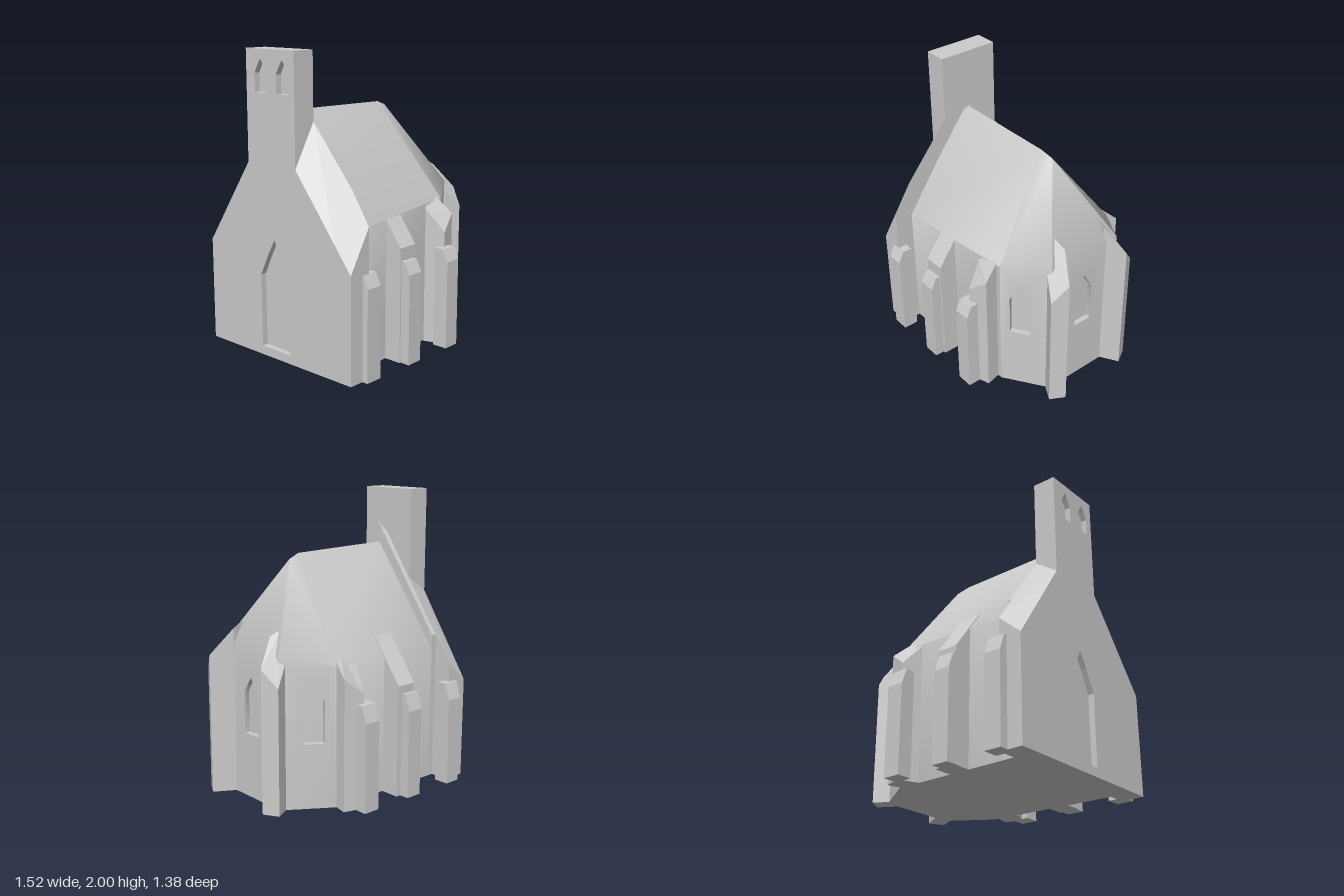
import * as THREE from 'three';
import { toCreasedNormals } from 'three/addons/utils/BufferGeometryUtils.js';

const stone = new THREE.MeshStandardMaterial({ color: 0xcccccc });
stone.name = 'stone';

// Triangle collectors
const tri = (out, a, b, c) => out.push(...a, ...b, ...c);
const quad = (out, a, b, c, d) => { tri(out, a, b, c); tri(out, a, c, d); };

function toMesh(name, out, crease) {
  let g = new THREE.BufferGeometry();
  g.setAttribute('position', new THREE.Float32BufferAttribute(out, 3));
  if (crease) g = toCreasedNormals(g, crease);
  else g.computeVertexNormals();
  const m = new THREE.Mesh(g, stone);
  m.name = name;
  return m;
}

// Pointed-arch outline, counter-clockwise
const arch = (u, w, y0, spring, top) => [
  [u - w / 2, y0], [u + w / 2, y0], [u + w / 2, spring],
  [u + w * 0.22, spring + (top - spring) * 0.6], [u, top],
  [u - w * 0.22, spring + (top - spring) * 0.6], [u - w / 2, spring],
].map(([x, y]) => new THREE.Vector2(x, y));

// Upright wall panel from plan point p along (dx, dz), with recessed arches
function panel(out, p, dx, dz, outline, holes, depth) {
  const at = (v, d) => [p[0] + dx * v.x + dz * d, v.y, p[1] + dz * v.x - dx * d];
  const fill = (shape, d) => {
    const g = new THREE.ShapeGeometry(shape);
    const pos = g.attributes.position;
    const pt = i => at(new THREE.Vector2(pos.getX(i), pos.getY(i)), d);
    for (let i = 0; i < g.index.count; i += 3) {
      tri(out, pt(g.index.getX(i)), pt(g.index.getX(i + 1)), pt(g.index.getX(i + 2)));
    }
  };
  const shape = new THREE.Shape(outline.map(([x, y]) => new THREE.Vector2(x, y)));
  for (const h of holes) {
    shape.holes.push(new THREE.Path(h));
    h.forEach((a, i) => {
      const b = h[(i + 1) % h.length];
      quad(out, at(a, 0), at(b, 0), at(b, depth), at(a, depth));
    });
    fill(new THREE.Shape(h), depth);
  }
  fill(shape, 0);
}

// Upright prism with a height for each [x, z, height] corner
function prism(name, corners, mirrored) {
  const pts = mirrored ? [...corners].reverse() : corners;
  const out = [];
  const lo = pts.map(([x, z]) => [x, 0, z]);
  const hi = pts.map(([x, z, h]) => [x, h, z]);
  pts.forEach((_, i) => {
    const j = (i + 1) % pts.length;
    quad(out, lo[i], lo[j], hi[j], hi[i]);
    if (i > 0 && j > 0) {
      tri(out, hi[0], hi[i], hi[j]);
      tri(out, lo[0], lo[j], lo[i]);
    }
  });
  return toMesh(name, out);
}

// Nave and three-sided apse, walls flowing into the roof
function body() {
  const out = [];
  const plan = [
    [-0.62, 0.52, 0.91], [0.33, 0.475, 0.97], [0.62, 0.285, 1.02],
    [0.62, -0.285, 1.02], [0.32, -0.485, 0.95], [-0.62, -0.5, 0.92],
  ];
  const lo = plan.map(([x, z]) => [x, 0, z]);
  const hi = plan.map(([x, z, h]) => [x, h, z]);
  const west = [-0.58, 1.62, 0.02], mid = [0.2, 1.605, 0.015], apex = [0.288, 1.575, 0];
  const windowAt = { 1: 0.39, 2: 0.5, 3: 0.61 };
  for (let i = 0; i < 5; i++) {
    const [x, z, h] = plan[i], [x2, z2, h2] = plan[i + 1];
    const len = Math.hypot(x2 - x, z2 - z);
    const holes = windowAt[i] ? [arch(len * windowAt[i], 0.14, 0.44, 0.72, 0.83)] : [];
    panel(out, [x, z], (x2 - x) / len, (z2 - z) / len,
      [[0, 0], [len, 0], [len, h2], [0, h]], holes, 0.035);
  }
  // Roof slopes
  quad(out, hi[0], hi[1], mid, west);
  tri(out, hi[1], apex, mid);
  for (let i = 1; i < 4; i++) tri(out, hi[i], hi[i + 1], apex);
  tri(out, hi[4], mid, apex);
  quad(out, hi[4], hi[5], west, mid);
  // Floor and west closing
  for (let i = 1; i < 5; i++) tri(out, lo[0], lo[i + 1], lo[i]);
  quad(out, lo[5], lo[0], hi[0], hi[5]);
  tri(out, hi[5], hi[0], west);
  return toMesh('naveAndApse', out, 0.75);
}

// West gable with bell tower, lofted between its outer and inner faces
function westFront() {
  const out = [];
  const outer = [[-0.63, 0], [0.65, 0], [0.65, 0.7], [0.52, 0.864], [0.19, 1.28],
    [0.19, 2], [-0.24, 2], [-0.24, 1.28], [-0.63, 0.7]];
  const inner = [[-0.63, 0], [0.65, 0], [0.65, 0.97], [0.52, 1.17], [0.19, 1.56],
    [0.19, 2], [-0.24, 2], [-0.24, 1.39], [-0.63, 0.84]];
  const xo = -0.76, xi = -0.6;
  panel(out, [xo, 0], 0, 1, outer, [
    arch(-0.01, 0.26, 0.06, 0.55, 0.8),
    arch(-0.11, 0.105, 1.73, 1.85, 1.94),
    arch(0.085, 0.105, 1.73, 1.85, 1.94),
  ], -0.04 * -1);
  panel(out, [xi, 0], 0, -1, inner.map(([z, y]) => [-z, y]).reverse(), [], 0);
  outer.forEach(([z, y], i) => {
    const j = (i + 1) % outer.length;
    const [z2, y2] = outer[j], [iz, iy] = inner[i], [jz, jy] = inner[j];
    quad(out, [xo, y, z], [xi, iy, iz], [xi, jy, jz], [xo, y2, z2]);
  });
  return toMesh('westFrontAndTower', out);
}

// Freestanding pillar with a chamfered cap
function pillar(x, s) {
  const h = s > 0 ? 0.68 : 0.71;
  const shape = new THREE.Shape([[0.585, 0], [0.692, 0], [0.692, 0.6], [0.652, h], [0.585, h]]
    .map(([a, b]) => new THREE.Vector2(a, b)));
  const g = new THREE.ExtrudeGeometry(shape, { depth: 0.118, bevelEnabled: false });
  g.translate(0, 0, -0.059).rotateY(-s * Math.PI / 2).translate(x, 0, 0);
  const m = new THREE.Mesh(g, stone);
  m.name = 'pillar';
  return m;
}

export function createModel() {
  const group = new THREE.Group();
  group.name = 'chapel';
  group.add(body(), westFront());

  // Raised coping beside the tower on the north slope
  group.add(prism('roofCoping', [
    [-0.6, -0.02, 1.69], [-0.563, 0.04, 1.77], [-0.563, -0.5, 1.02], [-0.6, -0.5, 1.02],
  ]));

  for (const s of [1, -1]) {
    for (const x of [-0.597, -0.203, 0.19]) group.add(pillar(x, s));
    const place = (list, dx) => list.map(([x, z, h]) => [x + (s < 0 ? dx : 0), z * s, h]);

    // Buttresses continue the slope of the roof
    group.add(prism('naveButtress', place([
      [-0.272, 0.4, 1.07], [-0.272, 0.625, 0.765], [-0.125, 0.625, 0.765], [-0.125, 0.4, 1.07],
    ], 0.016), s < 0));
    group.add(prism('shoulderButtress', place([
      [0.14, 0.495, 0.93], [0.19, 0.62, 0.78], [0.32, 0.58, 0.88], [0.295, 0.47, 0.98],
      [0.22, 0.44, 1.0],
    ], 0.012), s < 0));
    group.add(prism('apseButtress', place([
      [0.6, 0.305, 0.97], [0.703, 0.362, 0.84], [0.76, 0.262, 0.955], [0.62, 0.18, 1.13],
      [0.53, 0.19, 1.17],
    ], -0.017), s < 0));
  }
  return group;
}
